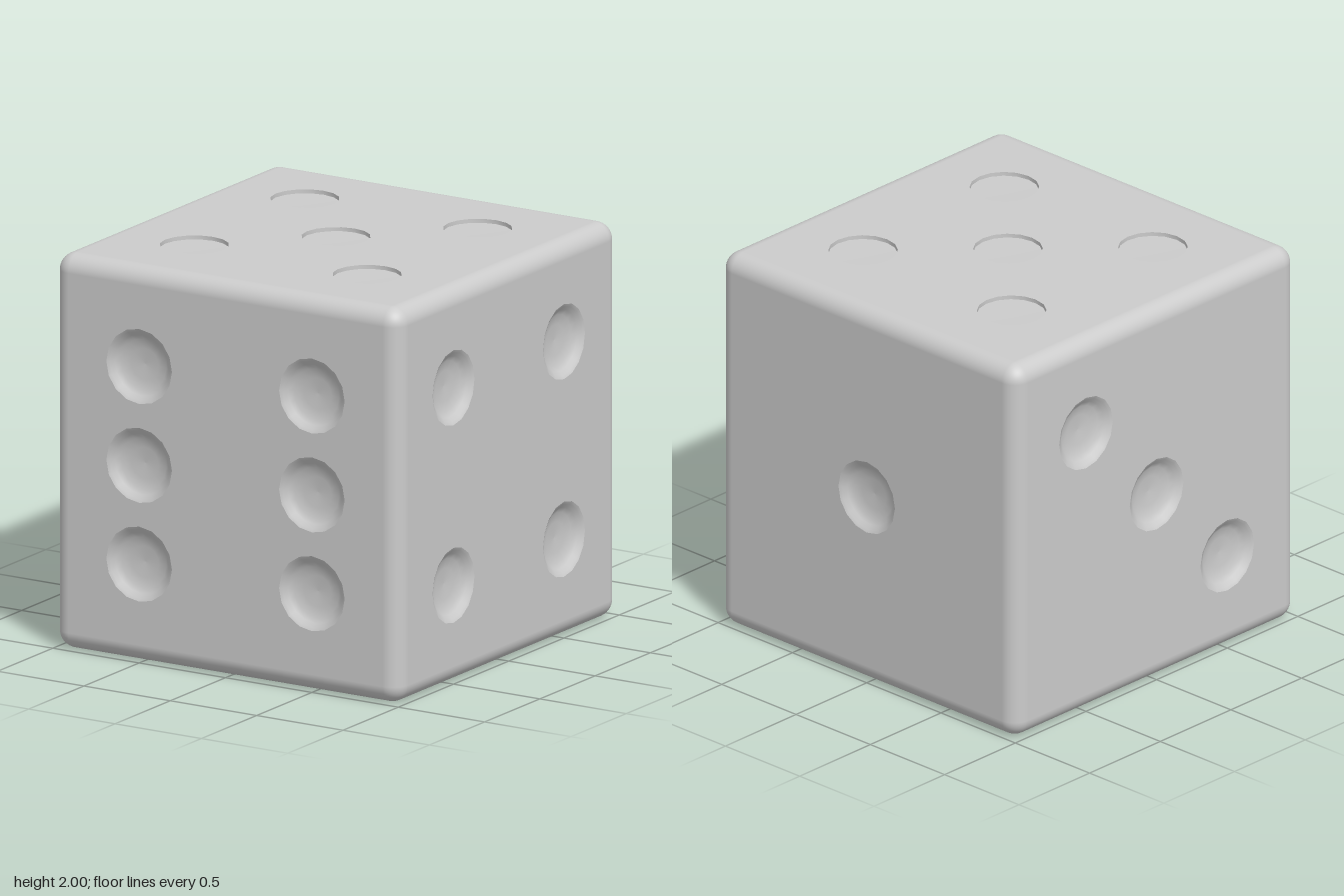
import * as THREE from 'three';
import { RoundedBoxGeometry } from 'three/addons/geometries/RoundedBoxGeometry.js';
import { toCreasedNormals } from 'three/addons/utils/BufferGeometryUtils.js';

const EDGE = 0.09; // edge rounding
const SIDES = 16; // sides of each pip

// Rounded edges and corners only: drop the flat centre of every face
function roundedFrame() {
  const source = new RoundedBoxGeometry(2, 2, 2, 6, EDGE);
  const box = source.index ? source.toNonIndexed() : source;
  const p = box.attributes.position, n = box.attributes.normal;
  const positions = [], normals = [];
  for (let i = 0; i < p.count; i += 3) {
    const corners = [i, i + 1, i + 2];
    const flat = [0, 1, 2].some((axis) =>
      corners.every((k) => Math.abs(p.getComponent(k, axis)) > 0.99999));
    if (flat) continue;
    for (const k of corners) {
      positions.push(p.getX(k), p.getY(k), p.getZ(k));
      normals.push(n.getX(k), n.getY(k), n.getZ(k));
    }
  }
  const frame = new THREE.BufferGeometry();
  frame.setAttribute('position', new THREE.Float32BufferAttribute(positions, 3));
  frame.setAttribute('normal', new THREE.Float32BufferAttribute(normals, 3));
  return frame;
}

// Flat square pierced by a round hole for every pip
function facePanel(pips, radius) {
  const h = 1 - EDGE;
  const shape = new THREE.Shape([[-h, -h], [h, -h], [h, h], [-h, h]]
    .map(([x, y]) => new THREE.Vector2(x, y)));
  for (const [x, y] of pips) {
    const rim = [];
    for (let i = 0; i < SIDES; i++) {
      const a = (i / SIDES) * Math.PI * 2;
      rim.push(new THREE.Vector2(x + radius * Math.cos(a), y + radius * Math.sin(a)));
    }
    shape.holes.push(new THREE.Path(rim));
  }
  return new THREE.ShapeGeometry(shape);
}

// Recess turned from a rim-to-centre profile, opening towards +z
function recess(profile) {
  const points = profile.map(([r, y]) => new THREE.Vector2(r, y));
  return new THREE.LatheGeometry(points, SIDES).rotateX(Math.PI / 2);
}

export function createModel() {
  const model = new THREE.Group();
  model.name = 'die';
  const material = new THREE.MeshStandardMaterial({ color: 0xcccccc });
  const body = new THREE.Group();
  body.name = 'body';
  body.position.y = 1;
  model.add(body);

  const frame = new THREE.Mesh(roundedFrame(), material);
  frame.name = 'roundedEdges';
  body.add(frame);

  // Soft dished pips on most faces, crisp shallow ones on top
  const dished = {
    radius: 0.19,
    geometry: recess([[0.19, 0], [0.175, -0.008], [0.155, -0.025], [0.13, -0.042],
      [0.08, -0.053], [0, -0.058]]),
  };
  const crisp = {
    radius: 0.17,
    geometry: toCreasedNormals(recess([[0.17, 0], [0.17, -0.02], [0, -0.024]]), 0.7),
  };

  const d = 0.5, q = Math.PI / 2;
  const four = [[-d, -d], [d, -d], [-d, d], [d, d]];
  const diagonal = [[-d, d], [d, -d]];
  const faces = [
    { name: 'front', turn: [0, 0], pips: [...four, [-d, 0], [d, 0]], style: dished },
    { name: 'right', turn: [0, q], pips: four, style: dished },
    { name: 'back', turn: [0, 2 * q], pips: [[0, 0]], style: dished },
    { name: 'left', turn: [0, -q], pips: [...diagonal, [0, 0]], style: dished },
    { name: 'top', turn: [-q, 0], pips: [...four, [0, 0]], style: crisp },
    { name: 'bottom', turn: [q, 0], pips: diagonal, style: dished },
  ];

  for (const { name, turn, pips, style } of faces) {
    const face = new THREE.Group();
    face.name = `${name}Face`;
    face.rotation.set(turn[0], turn[1], 0);
    const panel = new THREE.Mesh(facePanel(pips, style.radius), material);
    panel.name = `${name}Panel`;
    panel.position.z = 1;
    face.add(panel);
    for (const [x, y] of pips) {
      const pip = new THREE.Mesh(style.geometry, material);
      pip.name = `${name}Pip`;
      pip.position.set(x, y, 1);
      face.add(pip);
    }
    body.add(face);
  }
  return model;
}
